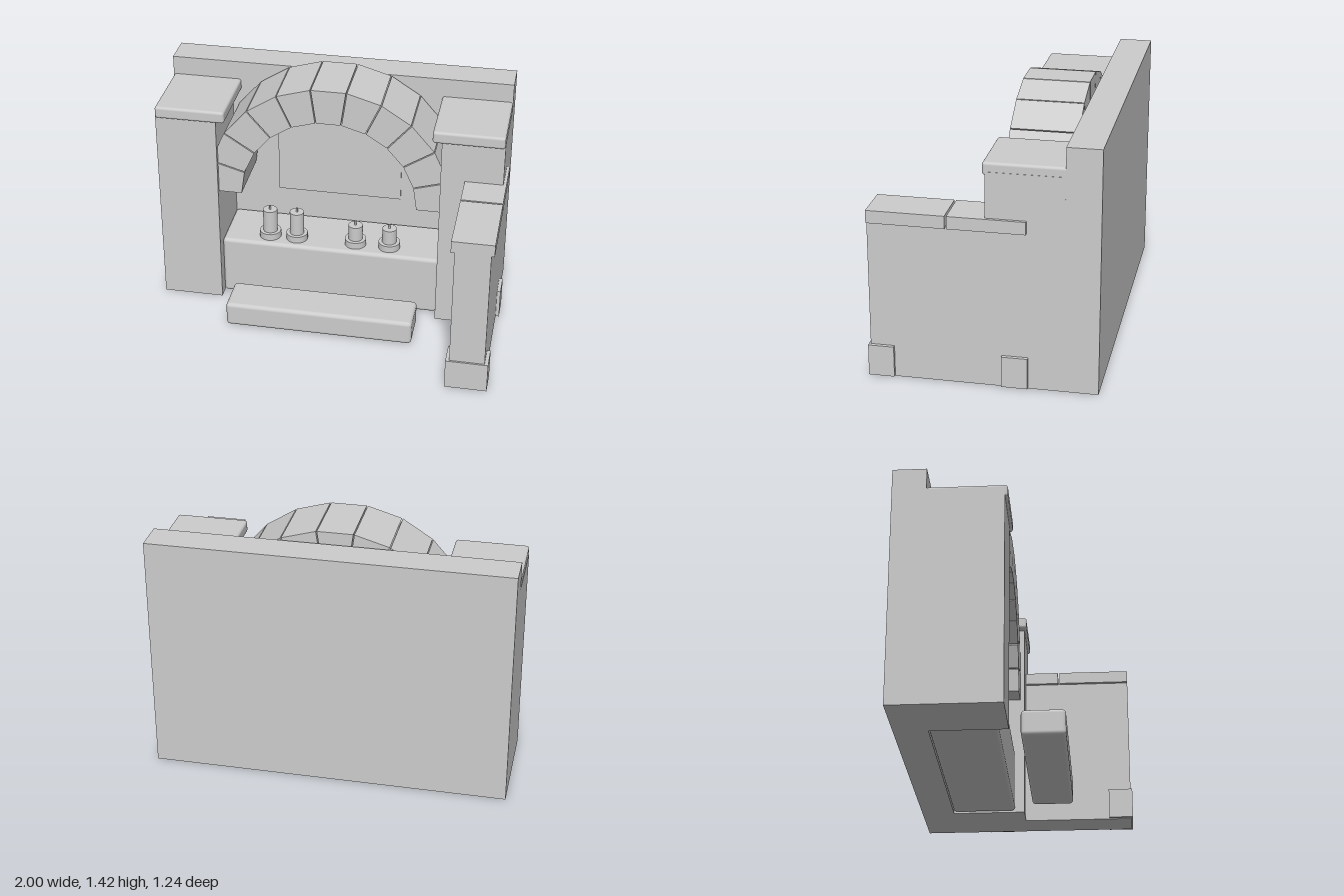
import * as THREE from 'three';
import { RoundedBoxGeometry } from 'three/addons/geometries/RoundedBoxGeometry.js';

export function createModel() {
  const model = new THREE.Group();
  model.name = 'archedShrine';
  const stone = new THREE.MeshStandardMaterial({ color: 0xcccccc });
  stone.name = 'grey stone';

  function add(name, geometry, parent = model) {
    const mesh = new THREE.Mesh(geometry, stone);
    mesh.name = name;
    parent.add(mesh);
    return mesh;
  }
  // Boxes are given by their limits on each axis; a radius rounds the edges.
  function box(name, [x0, x1], [y0, y1], [z0, z1], radius = 0) {
    const size = [x1 - x0, y1 - y0, z1 - z0];
    const geometry = radius
      ? new RoundedBoxGeometry(...size, 3, radius)
      : new THREE.BoxGeometry(...size);
    const mesh = add(name, geometry);
    mesh.position.set((x0 + x1) / 2, (y0 + y1) / 2, (z0 + z1) / 2);
    return mesh;
  }

  // Back wall with a thin panel behind the arch
  box('backWall', [-1, 0.98], [0, 1.36], [-0.615, -0.43]);
  box('backPanel', [-0.38, 0.355], [0.545, 1.28], [-0.429, -0.422]);

  // Pillars and their rounded capstones
  const midX = -0.01;
  for (const [side, s] of [['left', 1], ['right', -1]]) {
    const span = (a, b) => [midX + s * a, midX + s * b].sort((p, q) => p - q);
    box(side + 'Pillar', span(0.64, 0.99), [0, 1.2], [-0.43, -0.015]);
    box(side + 'Capstone', span(0.588, 0.988), [1.18, 1.25], [-0.46, 0], 0.015);
  }

  // Low side wall with coping stones and base blocks
  box('sideWall', [0.785, 0.98], [0, 0.885], [-0.03, 0.61]);
  box('frontCoping', [0.765, 0.997], [0.88, 0.95], [0.193, 0.61]);
  box('rearCoping', [0.765, 0.997], [0.88, 0.95], [-0.23, 0.183]);
  box('frontBaseBlock', [0.765, 1], [0.005, 0.18], [0.48, 0.62]);
  box('rearBaseBlock', [0.8, 1], [0.005, 0.18], [-0.24, -0.1]);

  // Altar and step
  box('altar', [-0.65, 0.63], [0.005, 0.37], [-0.43, -0.07], 0.022);
  box('step', [-0.555, 0.53], [0.005, 0.15], [0.038, 0.275], 0.022);

  // Arch of wedge stones with narrow joints
  const arch = new THREE.Group();
  arch.name = 'arch';
  arch.position.set(midX, 0.715, -0.41);
  model.add(arch);
  const count = 11, inner = 0.507, outer = 0.712, gap = 0.003;
  for (let i = 0; i < count; i++) {
    const a = (i * Math.PI) / count, b = ((i + 1) * Math.PI) / count;
    const corner = (r, t, shift) => new THREE.Vector2(
      r * Math.cos(t) - shift * Math.sin(t), r * Math.sin(t) + shift * Math.cos(t));
    const wedge = new THREE.Shape([
      corner(inner, a, gap), corner(outer, a, gap),
      corner(outer, b, -gap), corner(inner, b, -gap),
    ]);
    add('archStone', new THREE.ExtrudeGeometry(wedge, { depth: 0.37, bevelEnabled: false }), arch);
  }

  // Candles: holder, wax and wick
  for (const [x, top] of [[-0.38, 0.55], [-0.22, 0.55], [0.13, 0.5], [0.33, 0.5]]) {
    const candle = new THREE.Group();
    candle.name = 'candle';
    candle.position.set(x, 0, -0.165);
    model.add(candle);
    const disc = (name, r, y0, y1) => {
      add(name, new THREE.CylinderGeometry(r, r, y1 - y0, 24), candle).position.y = (y0 + y1) / 2;
    };
    disc('holder', 0.063, 0.368, 0.41);
    disc('wax', 0.042, 0.4, top);
    disc('wick', 0.006, top, top + 0.025);
  }

  return model;
}
